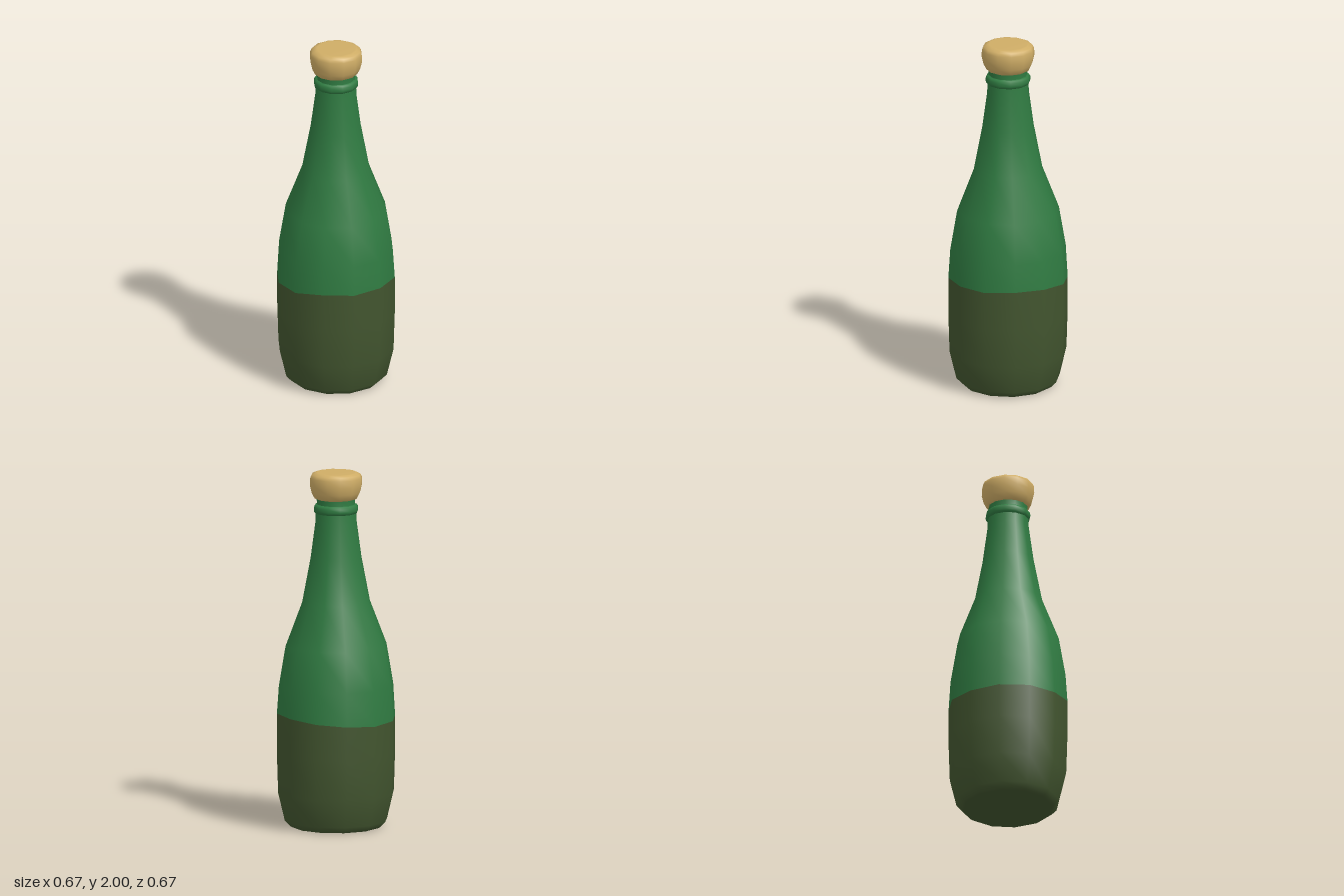
import * as THREE from 'three';

const SIDES = 12;

function material(name, color) {
  const m = new THREE.MeshStandardMaterial({ color });
  m.name = name;
  return m;
}

// Turned part from [radius, height] pairs, listed bottom to top
function turned(name, profile, mat) {
  const points = profile.map(([r, y]) => new THREE.Vector2(r, y));
  const mesh = new THREE.Mesh(new THREE.LatheGeometry(points, SIDES), mat);
  mesh.name = name;
  return mesh;
}

// Uneven height of the colour boundary, one value per side from +z towards +x
const SEAM_Y = 0.625;
const seam = [0.617, 0.638, 0.632, 0.637, 0.635, 0.645, 0.64, 0.625, 0.612, 0.604, 0.61, 0.615];

function bendSeam(mesh) {
  const pos = mesh.geometry.attributes.position;
  for (let i = 0; i < pos.count; i++) {
    if (Math.abs(pos.getY(i) - SEAM_Y) > 1e-4) continue;
    const side = Math.round((Math.atan2(pos.getX(i), pos.getZ(i)) / (2 * Math.PI)) * SIDES);
    pos.setY(i, seam[(side + SIDES) % SIDES]);
  }
  return mesh;
}

export function createModel() {
  const glass = material('green glass', 0x2f7a41);
  const filled = material('dark olive', 0x42552f);
  const corkTan = material('cork tan', 0xcfad66);
  const group = new THREE.Group();
  group.name = 'bottle';

  // Lower body with the base
  group.add(bendSeam(turned('lowerBody', [
    [0, 0], [0.25, 0], [0.262, 0.008], [0.29, 0.037], [0.328, 0.196], [0.335, 0.42], [0.335, SEAM_Y],
  ], filled)));

  // Shoulder and tapering neck
  group.add(bendSeam(turned('upperBody', [
    [0.335, SEAM_Y], [0.324, 0.8], [0.286, 1.025], [0.192, 1.27], [0.144, 1.52],
    [0.117, 1.72], [0.115, 1.775], [0.108, 1.82], [0.11, 1.86],
  ], glass)));

  // Raised ring under the mouth
  group.add(turned('neckRing', [
    [0.112, 1.768], [0.122, 1.775], [0.126, 1.788], [0.125, 1.806], [0.118, 1.817], [0.105, 1.822],
  ], glass));

  // Rounded cork head
  group.add(turned('cork', [
    [0, 1.848], [0.106, 1.848], [0.122, 1.856], [0.138, 1.888], [0.148, 1.93],
    [0.147, 1.97], [0.138, 1.988], [0.118, 1.998], [0.105, 2], [0, 2],
  ], corkTan));

  return group;
}
